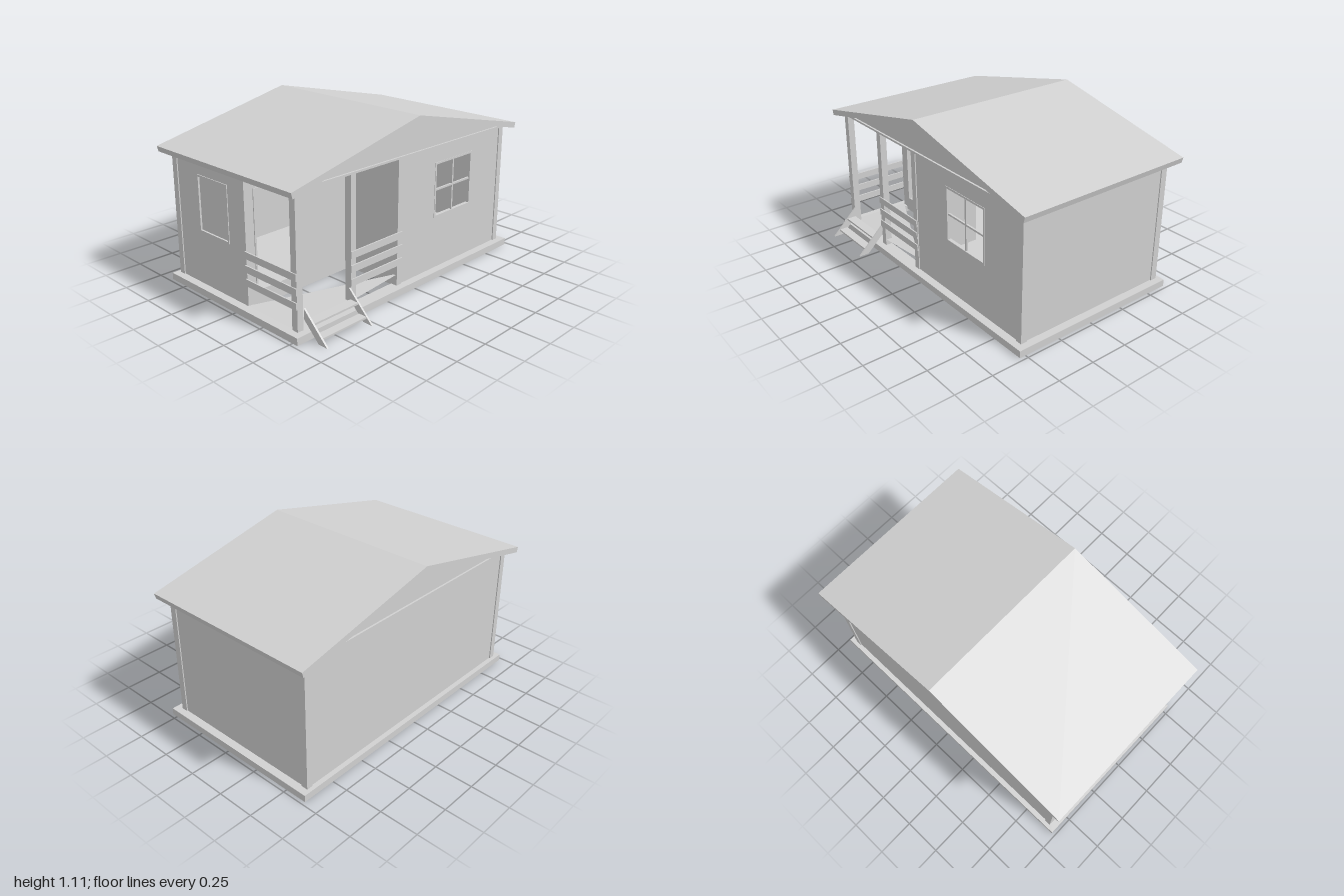
import * as THREE from 'three';

export function createModel() {
  const grey = new THREE.MeshStandardMaterial({ color: 0xd0d0d0 });
  grey.name = 'plain grey';
  const greySheet = new THREE.MeshStandardMaterial({ color: 0xd0d0d0, side: THREE.DoubleSide });
  greySheet.name = 'plain grey sheet';

  const model = new THREE.Group();
  model.name = 'cabin';

  const add = (name, geometry, material = grey, parent = model) => {
    const mesh = new THREE.Mesh(geometry, material);
    mesh.name = name;
    parent.add(mesh);
    return mesh;
  };
  // Box given by its limits on each axis
  const box = (name, x0, x1, y0, y1, z0, z1, parent = model) => {
    const mesh = add(name, new THREE.BoxGeometry(x1 - x0, y1 - y0, z1 - z0), grey, parent);
    mesh.position.set((x0 + x1) / 2, (y0 + y1) / 2, (z0 + z1) / 2);
    return mesh;
  };
  const toPoints = (points) => points.map(([x, y]) => new THREE.Vector2(x, y));
  // Flat profile, optional rectangular hole [x0, x1, y0, y1], extruded along z
  const slab = (name, points, depth, hole) => {
    const shape = new THREE.Shape(toPoints(points));
    if (hole) {
      const [a, b, c, d] = hole;
      shape.holes.push(new THREE.Path(toPoints([[a, c], [a, d], [b, d], [b, c]])));
    }
    return add(name, new THREE.ExtrudeGeometry(shape, { depth, bevelEnabled: false }));
  };
  const rect = (x0, x1, y0, y1) => [[x0, y0], [x1, y0], [x1, y1], [x0, y1]];

  // Main levels and limits
  const W = 0.932, front = 0.495, back = -0.62, porchZ = 0.06, porchX = -0.09;
  const base = 0.03, eave = 0.86, floorY = 0.11, t = 0.02, inset = 0.007;

  // Foundation ring
  const ring = slab('foundation', rect(-0.977, 0.977, -0.54, 0.645), 0.045, [-0.89, 0.89, -0.45, 0.57]);
  ring.rotation.x = -Math.PI / 2;

  // Floors and the joists around the porch recess
  box('mainFloor', porchX, 0.92, 0.095, floorY, back + 0.01, front - 0.01);
  box('rearFloor', -0.92, porchX, 0.095, floorY, back + 0.01, porchZ);
  box('porchJoist', -0.9, porchX, 0.02, 0.1, porchZ - t, porchZ);
  box('porchJoist', porchX, porchX + t, 0.02, 0.1, porchZ - t, front - 0.02);

  // Porch deck sheet
  const deck = new THREE.BufferGeometry();
  deck.setAttribute('position', new THREE.Float32BufferAttribute(
    [-W, 0.05, front, porchX, 0.115, front - 0.01, -W, 0.05, porchZ], 3));
  deck.computeVertexNormals();
  add('porchDeck', deck, greySheet);

  // Walls, set back slightly from the faces of the posts
  const winY = [0.39, 0.755];
  slab('frontWall', rect(porchX, W - inset, base, eave), t, [0.23, 0.6, ...winY])
    .position.z = front - t - inset;
  slab('porchBackWall', rect(-W + inset, porchX + t, base, eave), t, [-0.85, -0.55, 0.12, 0.742])
    .position.z = porchZ - t;
  box('backWall', -W + inset, W - inset, base, eave, back + inset, back + t + inset);
  box('porchSideWall', porchX, porchX + t, base, eave, porchZ, front - t - inset);
  box('sideWall', W - t - inset, W - inset, base, eave, back + t, front - t);
  const windowWall = slab('windowSideWall', rect(-porchZ, -back - t, base, eave), t, [0.09, 0.38, ...winY]);
  windowWall.rotation.y = Math.PI / 2;
  windowWall.position.x = -W + inset;

  // Posts at the corners and along the porch
  for (const x of [-W, W - 0.042]) {
    box('cornerPost', x, x + 0.042, base, eave, back, back + 0.045);
    box('cornerPost', x, x + 0.042, base, eave, front - 0.045, front);
  }
  for (const x of [-0.52, -0.12]) box('porchPost', x, x + 0.042, base, eave, front - 0.045, front);

  // Door frame
  for (const x of [-0.862, -0.55]) box('doorJamb', x, x + 0.012, 0.12, 0.742, porchZ - t, porchZ + 0.006);
  box('doorHead', -0.862, -0.538, 0.742, 0.754, porchZ - t, porchZ + 0.006);

  // Window frames with optional glazing bars, built facing +z around a centre
  const windowFrame = (w, h, bars) => {
    const g = new THREE.Group();
    g.name = 'windowFrame';
    const f = 0.013, d = 0.012;
    for (const s of [-1, 1]) {
      const x = s * (w / 2 - f / 2), y = s * (h / 2 - f / 2);
      box('frameSide', x - f / 2, x + f / 2, -h / 2, h / 2, -d, d, g);
      box('frameRail', -w / 2, w / 2, y - f / 2, y + f / 2, -d, d, g);
    }
    if (bars) {
      box('uprightBar', -0.006, 0.006, -h / 2, h / 2, -0.006, 0.006, g);
      box('crossBar', -w / 2, w / 2, -0.006, 0.006, -0.006, 0.006, g);
    }
    model.add(g);
    return g;
  };
  windowFrame(0.37, 0.365, true).position.set(0.415, 0.5725, front - 0.016);
  const sideFrame = windowFrame(0.29, 0.365, false);
  sideFrame.position.set(-W + 0.014, 0.5725, -0.235);
  sideFrame.rotation.y = -Math.PI / 2;
  add('sidePane', new THREE.PlaneGeometry(0.28, 0.355), grey, sideFrame);

  // Porch railings
  for (const y of [0.18, 0.266, 0.352]) {
    box('frontRail', -0.52, -0.08, y, y + 0.044, front - 0.002, front + 0.007);
    box('sideRail', -W - 0.007, -W + 0.002, y, y + 0.044, porchZ, front);
  }

  // Steps between two sloping stringers
  for (const x of [-0.885, -0.535]) {
    const stringer = slab('stepStringer', [[-0.675, 0], [-0.61, 0], [-0.495, 0.11], [-0.495, 0.175]], 0.012);
    stringer.rotation.y = Math.PI / 2;
    stringer.position.x = x;
  }
  box('lowerTread', -0.873, -0.535, 0.03, 0.042, 0.575, 0.633);
  box('upperTread', -0.873, -0.535, 0.095, 0.107, 0.505, 0.568);

  // Ceiling, recessed gables and pitched roof
  box('ceiling', -W, W, 0.853, 0.866, back, front);
  const gable = [[-0.93, 0.855], [0.93, 0.855], [0.9, 0.872], [0, 1.068], [-0.9, 0.872]];
  slab('frontGable', gable, t).position.z = front - t - 0.012;
  slab('backGable', gable, t).position.z = back + 0.012;
  slab('roof', [[-1, 0.882], [-0.99, 0.846], [0, 1.066], [0.99, 0.846], [1, 0.882], [0, 1.105]], 1.22)
    .position.z = -0.673;

  return model;
}
